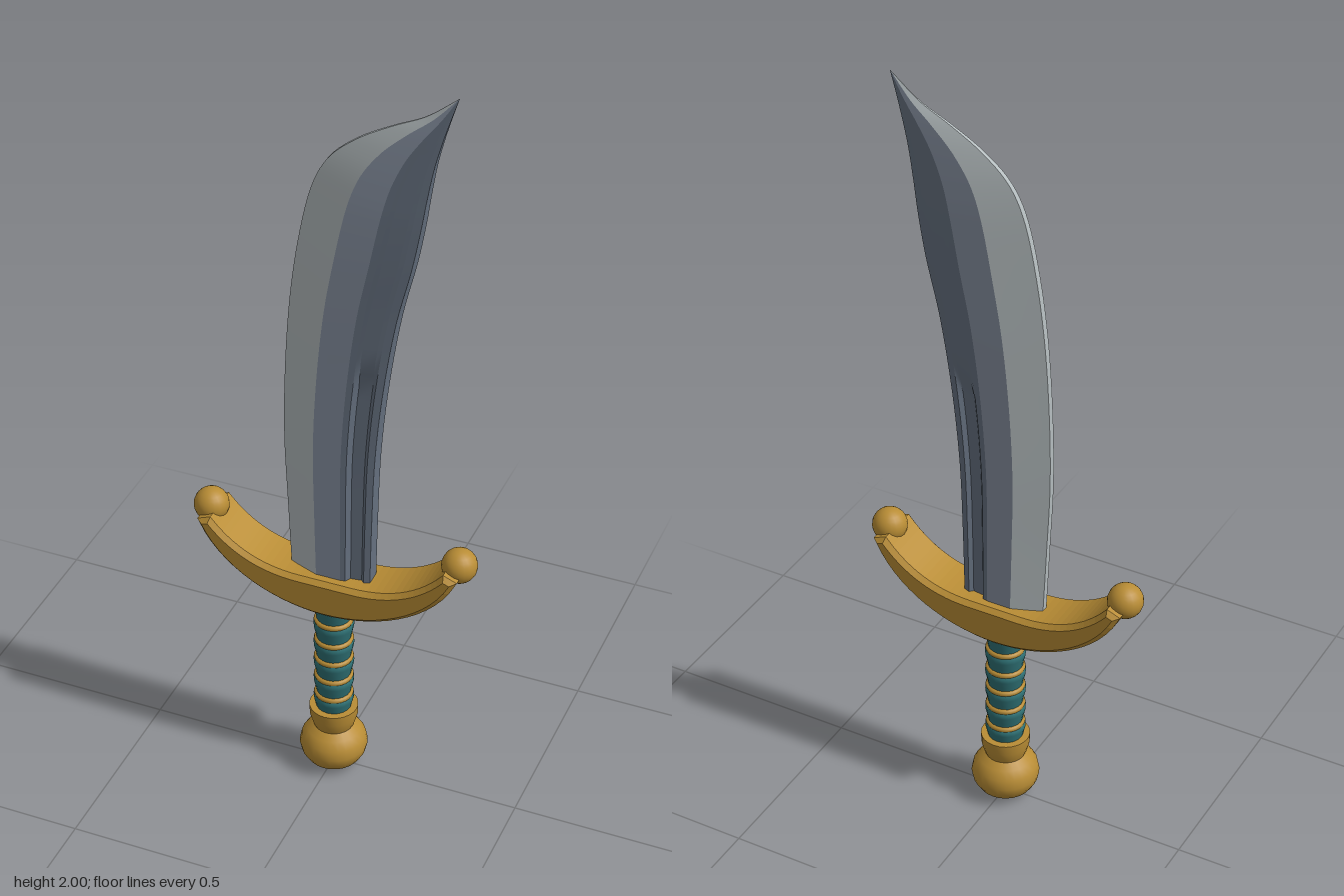
import * as THREE from 'three';

const mat = (name, color, side = THREE.FrontSide) => {
  const m = new THREE.MeshStandardMaterial({ color, side });
  m.name = name;
  return m;
};

export function createModel() {
  const gold = mat('gold', 0xb98d35);
  const teal = mat('teal leather', 0x2f7276);
  const edgeSteel = mat('bright edge steel', 0xb4bcbe, THREE.DoubleSide);
  const bodySteel = mat('blue steel', 0x8791a1, THREE.DoubleSide);
  const spineSteel = mat('dark steel', 0x667180, THREE.DoubleSide);

  const model = new THREE.Group();
  model.name = 'curvedSword';
  const add = (parent, name, geometry, material) => {
    const mesh = new THREE.Mesh(geometry, material);
    mesh.name = name;
    parent.add(mesh);
    return mesh;
  };

  // Blade: rungs run from the cutting edge to the spine; z holds the thickness factor
  const curve = (pts) => new THREE.CatmullRomCurve3(pts.map((p) => new THREE.Vector3(...p)), false, 'centripetal');
  const cutting = curve([
    [-0.108, 0.58, 1], [-0.118, 0.8, 1], [-0.126, 1.0, 1], [-0.122, 1.2, 1], [-0.108, 1.4, 1],
    [-0.086, 1.56, 0.97], [-0.055, 1.7, 0.88], [-0.015, 1.785, 0.74], [0.055, 1.85, 0.56],
    [0.14, 1.9, 0.38], [0.22, 1.94, 0.2], [0.297, 2.0, 0]]);
  const spine = curve([
    [0.104, 0.58, 0], [0.108, 0.8, 0], [0.115, 1.0, 0], [0.134, 1.2, 0], [0.165, 1.4, 0],
    [0.2, 1.55, 0], [0.22, 1.66, 0], [0.232, 1.74, 0], [0.246, 1.82, 0],
    [0.262, 1.885, 0], [0.278, 1.94, 0], [0.297, 2.0, 0]]);
  const ROWS = 55;
  const rungs = [];
  for (let i = 0; i <= ROWS; i++) rungs.push([cutting.getPoint(i / ROWS), spine.getPoint(i / ROWS)]);

  const point = (i, [f, h, groove = 0], side) => {
    const [a, b] = rungs[i];
    const y = a.y + (b.y - a.y) * f;
    const depth = groove * THREE.MathUtils.clamp((1.27 - y) / 0.06, 0, 1);
    return [a.x + (b.x - a.x) * f, y, side * (h - depth) * Math.max(a.z, 0)];
  };
  // One smooth strip along the blade between two lines of points
  const strip = (p, sideP, q, sideQ, flip) => {
    const pos = [], idx = [];
    for (let i = 0; i <= ROWS; i++) {
      pos.push(...point(i, p, sideP), ...point(i, q, sideQ));
      if (i === ROWS) break;
      const a = 2 * i, b = a + 1, c = a + 2, d = a + 3;
      idx.push(...(flip ? [a, d, b, a, c, d] : [a, b, d, a, d, c]));
    }
    const g = new THREE.BufferGeometry();
    g.setAttribute('position', new THREE.Float32BufferAttribute(pos, 3));
    g.setIndex(idx);
    g.computeVertexNormals();
    return g;
  };

  // Half cross-section: fraction across, half thickness, groove depth
  const section = [
    [0, 0.009], [0.36, 0.037], [0.66, 0.037], [0.72, 0.0345],
    [0.76, 0.033, 0.013], [0.89, 0.0275, 0.011], [0.93, 0.0255], [1, 0.021]];
  const bands = [
    ['cuttingBevel', edgeSteel], ['bladeFlat', bodySteel], ['spineBevel', spineSteel],
    ['grooveWall', spineSteel], ['grooveFloor', spineSteel], ['grooveWall', spineSteel], ['spineLip', spineSteel]];
  const blade = new THREE.Group();
  blade.name = 'blade';
  model.add(blade);
  for (const side of [1, -1]) {
    bands.forEach(([name, material], k) =>
      add(blade, name, strip(section[k], side, section[k + 1], side, side < 0), material));
  }
  add(blade, 'cuttingEdge', strip(section[0], -1, section[0], 1, false), edgeSteel);
  add(blade, 'spineEdge', strip(section[7], 1, section[7], -1, false), spineSteel);

  // Crescent crossguard with chamfered rims
  const b = 0.012;
  const crescent = new THREE.Shape();
  crescent.moveTo(-0.328, 0.712);
  crescent.bezierCurveTo(-0.27, 0.59, -0.13, 0.527, 0, 0.527);
  crescent.bezierCurveTo(0.13, 0.527, 0.27, 0.59, 0.328, 0.712);
  crescent.lineTo(0.312, 0.718);
  crescent.bezierCurveTo(0.25, 0.645, 0.17, 0.609, 0.07, 0.609);
  crescent.lineTo(-0.07, 0.609);
  crescent.bezierCurveTo(-0.17, 0.609, -0.25, 0.645, -0.312, 0.718);
  crescent.closePath();
  const guard = new THREE.ExtrudeGeometry(crescent, {
    depth: 0.112, bevelEnabled: true, bevelThickness: b, bevelSize: b, bevelSegments: 1, curveSegments: 14 });
  guard.translate(0, 0, -0.056);
  add(model, 'crossguard', guard, gold);
  for (const s of [-1, 1]) {
    add(model, 'guardBall', new THREE.SphereGeometry(0.045, 20, 14), gold).position.set(s * 0.33, 0.73, 0);
  }

  // Wrapped grip: each segment flares upward to the ring above it
  const lathe = (pts, n) => new THREE.LatheGeometry(pts.map((p) => new THREE.Vector2(...p)), n);
  const rings = [0.23, 0.288, 0.347, 0.405, 0.466];
  const stops = [0.175, ...rings, 0.53];
  for (let i = 0; i < stops.length - 1; i++) {
    const y0 = stops[i], h = stops[i + 1] - y0;
    add(model, 'gripSegment', lathe([
      [0.043, y0], [0.046, y0 + h * 0.3], [0.051, y0 + h * 0.65], [0.052, y0 + h * 0.85], [0.046, y0 + h]], 20), teal);
  }
  for (const y of rings) {
    const ring = add(model, 'gripRing', new THREE.TorusGeometry(0.043, 0.008, 8, 24), gold);
    ring.rotation.x = Math.PI / 2;
    ring.position.y = y;
  }

  // Collar and pommel
  add(model, 'collar', lathe([[0.048, 0.118], [0.055, 0.135], [0.062, 0.16], [0.063, 0.188]], 24), gold);
  add(model, 'collarTop', lathe([[0.063, 0.188], [0.04, 0.188]], 24), gold);
  add(model, 'pommel', lathe([
    [0.052, 0.012], [0.07, 0.022], [0.083, 0.043], [0.088, 0.065], [0.083, 0.09], [0.069, 0.112], [0.046, 0.13]], 24), gold);
  add(model, 'pommelCap', lathe([[0, 0], [0.035, 0.002], [0.052, 0.012]], 24), gold);
  return model;
}
